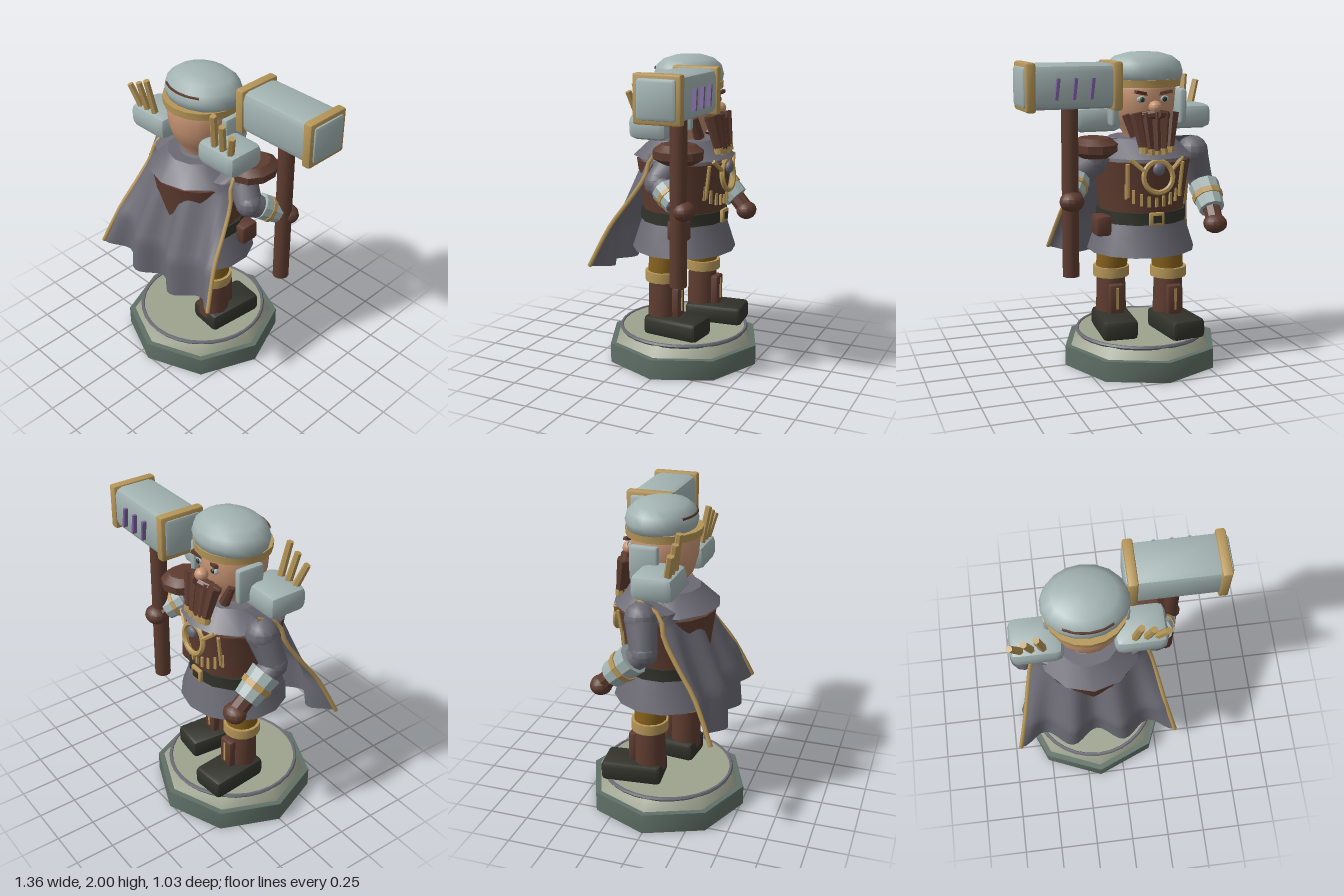
import * as THREE from 'three';
import { toCreasedNormals } from 'three/addons/utils/BufferGeometryUtils.js';
import { RoundedBoxGeometry } from 'three/addons/geometries/RoundedBoxGeometry.js';

const mat = (name, color, side = THREE.FrontSide) => {
  const m = new THREE.MeshStandardMaterial({ color, side });
  m.name = name;
  return m;
};
const V = (a) => new THREE.Vector3(...a);

export function createModel() {
  const skin = mat('skin', 0xc69372), steel = mat('paleSteel', 0xa2b3b2);
  const cloth = mat('greyCloth', 0x6b6a74, THREE.DoubleSide);
  const brown = mat('brownLeather', 0x5e3c30, THREE.DoubleSide);
  const gold = mat('gold', 0xb69658), dark = mat('darkLeather', 0x32322b);
  const green = mat('greenStone', 0x5f7067), stone = mat('paleStone', 0x9ea38f);
  const ochre = mat('ochreCloth', 0x85601c), purple = mat('purpleRune', 0x7b619c);

  const root = new THREE.Group();
  root.name = 'hammerGuard';
  const body = new THREE.Group();
  body.name = 'figure';
  body.position.x = -0.165;
  root.add(body);

  // helpers: mesh, box, lathe, limb between two points, ball, tube
  const add = (name, geo, m, pos = [0, 0, 0], rot = [0, 0, 0], scale = [1, 1, 1], crease = 0.6) => {
    const mesh = new THREE.Mesh(toCreasedNormals(geo, crease), m);
    mesh.name = name;
    mesh.position.set(...pos);
    mesh.rotation.set(...rot);
    mesh.scale.set(...scale);
    body.add(mesh);
    return mesh;
  };
  const box = (name, size, m, pos, rot, bevel = 0) => add(name,
    bevel ? new RoundedBoxGeometry(...size, 1, bevel) : new THREE.BoxGeometry(...size), m, pos, rot);
  const lathe = (name, pts, m, pos, scale, seg = 16, crease = 0.6) => add(name,
    new THREE.LatheGeometry(pts.map(([r, y]) => new THREE.Vector2(r, y)), seg), m, pos, undefined, scale, crease);
  const limb = (name, a, b, ra, rb, m, seg = 12) => {
    const d = V(b).sub(V(a));
    const mesh = add(name, new THREE.CylinderGeometry(rb, ra, d.length(), seg), m);
    mesh.position.copy(V(a)).addScaledVector(d, 0.5);
    mesh.quaternion.setFromUnitVectors(new THREE.Vector3(0, 1, 0), d.normalize());
    return mesh;
  };
  const ball = (name, pos, r, m, scale, seg = 12) =>
    add(name, new THREE.SphereGeometry(r, seg, 8), m, pos, undefined, scale);
  const tube = (name, pts, r, m) =>
    add(name, new THREE.TubeGeometry(new THREE.CatmullRomCurve3(pts), 14, r, 6), m, undefined, undefined, undefined, 1.2);

  // octagonal plinth
  add('plinth', new THREE.CylinderGeometry(0.513, 0.513, 0.13, 8), green, [0, 0.065, 0], undefined, undefined, 0.85);
  add('plinthStep', new THREE.CylinderGeometry(0.43, 0.475, 0.065, 8), stone, [0, 0.162, 0], undefined, undefined, 0.85);
  add('plinthTop', new THREE.CylinderGeometry(0.415, 0.415, 0.01, 24), stone, [0, 0.2, 0]);
  add('plinthRing', new THREE.TorusGeometry(0.415, 0.013, 6, 32), cloth, [0, 0.2, 0], [Math.PI / 2, 0, 0]);

  // legs, the right one a step ahead
  for (const [x, z, out] of [[-0.17, -0.06, -1], [0.18, 0.066, 1]]) {
    box('boot', [0.23, 0.13, 0.39], dark, [x + out * 0.013, 0.265, z - 0.105], [0, -out * 0.1, 0], 0.03);
    limb('bootShaft', [x, 0.28, z], [x, 0.58, z], 0.1, 0.092, brown, 16);
    limb('kneeBand', [x, 0.56, z], [x, 0.625, z], 0.117, 0.117, gold, 16);
    limb('trouserLeg', [x, 0.6, z], [x * 0.85, 0.88, z * 0.7], 0.1, 0.11, ochre, 14);
    box('shinGuard', [0.1, 0.2, 0.05], brown, [x, 0.42, z - 0.105], undefined, 0.012);
    box('shinStrip', [0.014, 0.14, 0.009], gold, [x, 0.43, z - 0.132]);
  }

  // tunic, vest, belt
  const oval = [1.04, 1, 1];
  lathe('skirt', [[0.335, 0.75], [0.297, 0.87], [0.268, 0.96]], cloth, [0, 0, 0], oval, 14);
  lathe('hips', [[0, 0.86], [0.255, 0.88], [0.262, 0.96]], cloth, [0, 0, 0], oval, 14);
  lathe('vest', [[0.262, 0.98], [0.272, 1.08], [0.29, 1.22], [0.306, 1.335], [0.2, 1.34]], brown, [0, 0, 0], [1.02, 1, 1], 16);
  lathe('yoke', [[0.28, 1.335], [0.27, 1.39], [0.2, 1.45], [0.1, 1.48]], cloth, [0, 0, 0], [1.08, 1, 1], 14);
  lathe('collar', [[0.33, 1.36], [0.21, 1.47], [0.1, 1.47]], cloth, [0, 0, 0], [0.97, 1, 1], 12);
  lathe('belt', [[0.25, 0.945], [0.281, 0.945], [0.278, 1.02], [0.25, 1.02]], dark, [0, 0, 0], oval, 14);
  box('buckle', [0.1, 0.085, 0.025], gold, [0, 0.985, -0.28], undefined, 0.01);
  box('bucklePlate', [0.055, 0.045, 0.01], dark, [0, 0.985, -0.292]);
  box('pouch', [0.1, 0.13, 0.13], brown, [0.3, 0.935, -0.1], [0, 0, 0], 0.02);

  // chest ornaments
  for (let i = -4; i <= 4; i++) {
    const a = i * 0.17;
    box('vestStud', [0.017, 0.06 + 0.008 * Math.abs(i), 0.014], gold,
      [Math.sin(a) * 0.284, 1.09 + 0.004 * i * i, -Math.cos(a) * 0.278], [0, -a, 0]);
  }
  add('pendantRing', new THREE.TorusGeometry(0.095, 0.017, 6, 20), gold, [0, 1.25, -0.302], [0.12, 0, 0]);
  ball('pendantStone', [0, 1.3, -0.312], 0.04, cloth, [1, 1, 0.6]);
  for (const s of [-1, 1]) {
    limb('chain', [s * 0.09, 1.29, -0.3], [s * 0.17, 1.36, -0.272], 0.014, 0.014, gold, 6);
    limb('vestTrim', [s * 0.17, 1.12, -0.222], [s * 0.18, 1.33, -0.25], 0.013, 0.013, gold, 6);
  }

  // cape surface, dipping into the vest near its top; edges wrap forward
  const capePoint = (u, v) => new THREE.Vector3(u * (0.32 + 0.185 * v),
    1.47 - v * (0.78 + 0.055 * (1 - u * u)),
    Math.min(-0.08 + 3 * v, 0.17 + 0.37 * v, 0.4 + 0.045 * v)
      - 0.17 * u ** 4 * (1 - v * v) * Math.min(1, 8 * v)
      - 0.05 * Math.sqrt(v) * (1 + Math.cos(3 * Math.PI * u)) - 0.015 * v * u * u);
  const cape = new THREE.PlaneGeometry(2, 1, 30, 20);
  const cp = cape.attributes.position;
  for (let i = 0; i < cp.count; i++) {
    const p = capePoint(cp.getX(i), 0.5 - cp.getY(i));
    cp.setXYZ(i, p.x, p.y, p.z);
  }
  add('cape', cape, cloth, undefined, undefined, undefined, 1);
  for (const s of [-1, 1]) {
    tube('capeTrim', [0, 0.05, 0.1, 0.25, 0.45, 0.65, 0.82, 1].map((v) => capePoint(s, v)), 0.014, gold);
  }

  // head and cap
  lathe('head', [[0.11, 1.42], [0.125, 1.5], [0.175, 1.56], [0.203, 1.65], [0.212, 1.77], [0.2, 1.8], [0.16, 1.85]],
    skin, [0, 0, -0.01], [1, 1, 0.98], 18, 0.9);
  lathe('cap', [[0.2, 1.8], [0.245, 1.83], [0.256, 1.875], [0.238, 1.93], [0.185, 1.97], [0.1, 1.993], [0, 2]],
    steel, [0, 0, -0.03], [1, 1, 0.84], 18, 0.9);
  lathe('capBand', [[0.19, 1.785], [0.24, 1.785], [0.244, 1.832], [0.19, 1.832]], gold, [0, 0, -0.015], [1, 1, 0.95], 18);
  tube('capSeam', [-1, -0.5, 0, 0.5, 1].map((t) =>
    new THREE.Vector3(0.243 * Math.sin(t * 0.62), 1.915, -0.03 + 0.205 * Math.cos(t * 0.62))), 0.008, brown);

  // face, looking towards -z
  ball('nose', [0, 1.67, -0.24], 0.042, skin, [1, 0.95, 1]);
  for (const s of [-1, 1]) {
    ball('eye', [s * 0.075, 1.715, -0.2], 0.026, steel, [1.2, 0.8, 0.6]);
    ball('pupil', [s * 0.073, 1.715, -0.213], 0.015, dark, [1, 1, 0.6]);
    box('eyebrow', [0.085, 0.02, 0.025], brown, [s * 0.08, 1.755, -0.208], [0, s * 0.3, s * 0.2]);
    limb('moustache', [s * 0.01, 1.63, -0.26], [s * 0.14, 1.61, -0.215], 0.03, 0.024, brown, 8);
    box('earGuard', [0.05, 0.22, 0.18], steel, [s * 0.225, 1.66, -0.065], undefined, 0.02);
    limb('sideBeard', [s * 0.15, 1.62, -0.13], [s * 0.09, 1.49, -0.14], 0.025, 0.035, brown, 8);
  }
  for (let i = 0; i < 5; i++) {
    const k = i - 2, y = 1.4 + 0.012 * Math.abs(k);
    limb('beardLock', [k * 0.06, 1.635, -0.23], [k * 0.043, y, -0.27], 0.042, 0.028, brown, 6);
    limb('beardBead', [k * 0.043, y - 0.03, -0.274], [k * 0.043, y + 0.008, -0.27], 0.03, 0.03, gold, 8);
  }

  // shoulder blocks with fanned spikes
  for (const s of [-1, 1]) {
    box('shoulderBlock', [0.31, 0.155, 0.26], steel, [s * 0.302, 1.587, 0.05], undefined, 0.046);
    for (const [b, t, y] of [[0.262, 0.29, 1.88], [0.33, 0.362, 1.84], [0.39, 0.445, 1.8]]) {
      limb('spike', [s * b, 1.64, 0.13], [s * t, y, 0.17], 0.024, 0.021, gold, 6);
    }
  }

  // arms
  const arm = (shoulder, elbow, cuffA, cuffB, hand, r) => {
    ball('shoulder', shoulder, 0.1, cloth);
    limb('upperArm', shoulder, elbow, 0.097, 0.082, cloth);
    ball('elbow', elbow, 0.084, cloth);
    limb('forearm', elbow, cuffB, 0.078, 0.06, cloth);
    limb('cuff', cuffA, cuffB, r, r * 0.82, steel, 10);
    const a = V(cuffA).lerp(V(cuffB), 0.4), b = V(cuffA).lerp(V(cuffB), 0.6);
    limb('cuffBand', a.toArray(), b.toArray(), r * 1.01, r * 0.97, gold, 10);
    limb('wrist', cuffB, hand, 0.055, 0.055, brown, 8);
    ball('fist', hand, 0.068, brown, [1.15, 0.9, 1]);
  };
  arm([-0.335, 1.365, -0.05], [-0.405, 1.18, -0.01], [-0.41, 1.14, -0.07], [-0.405, 1.01, -0.21], [-0.395, 0.93, -0.285], 0.1);
  arm([0.31, 1.35, -0.05], [0.415, 1.245, -0.01], [0.45, 1.22, -0.07], [0.505, 1.15, -0.17], [0.53, 1.12, -0.235], 0.085);
  lathe('shoulderPad', [[0, -0.055], [0.09, -0.065], [0.145, -0.028], [0.148, 0.02], [0.1, 0.058], [0, 0.064]],
    brown, [0.348, 1.428, -0.115], [0.95, 1, 1.12], 10);

  // war hammer
  limb('hammerShaft', [0.53, 0.65, -0.2], [0.53, 1.72, -0.2], 0.052, 0.052, brown, 12);
  box('hammerHead', [0.57, 0.262, 0.28], steel, [0.55, 1.81, -0.2], undefined, 0.045);
  for (const x of [0.273, 0.798]) {
    box('hammerBand', [0.06, 0.285, 0.298], gold, [x, 1.81, -0.2], undefined, 0.014);
  }
  for (const x of [0.258, 0.817]) {
    box('hammerFace', [0.052, 0.24, 0.25], steel, [x, 1.81, -0.2], undefined, 0.024);
  }
  for (const x of [0.435, 0.54, 0.645]) {
    box('rune', [0.018, 0.125, 0.03], purple, [x, 1.8, -0.35], [0, 0, 0.12]);
  }
  return root;
}
